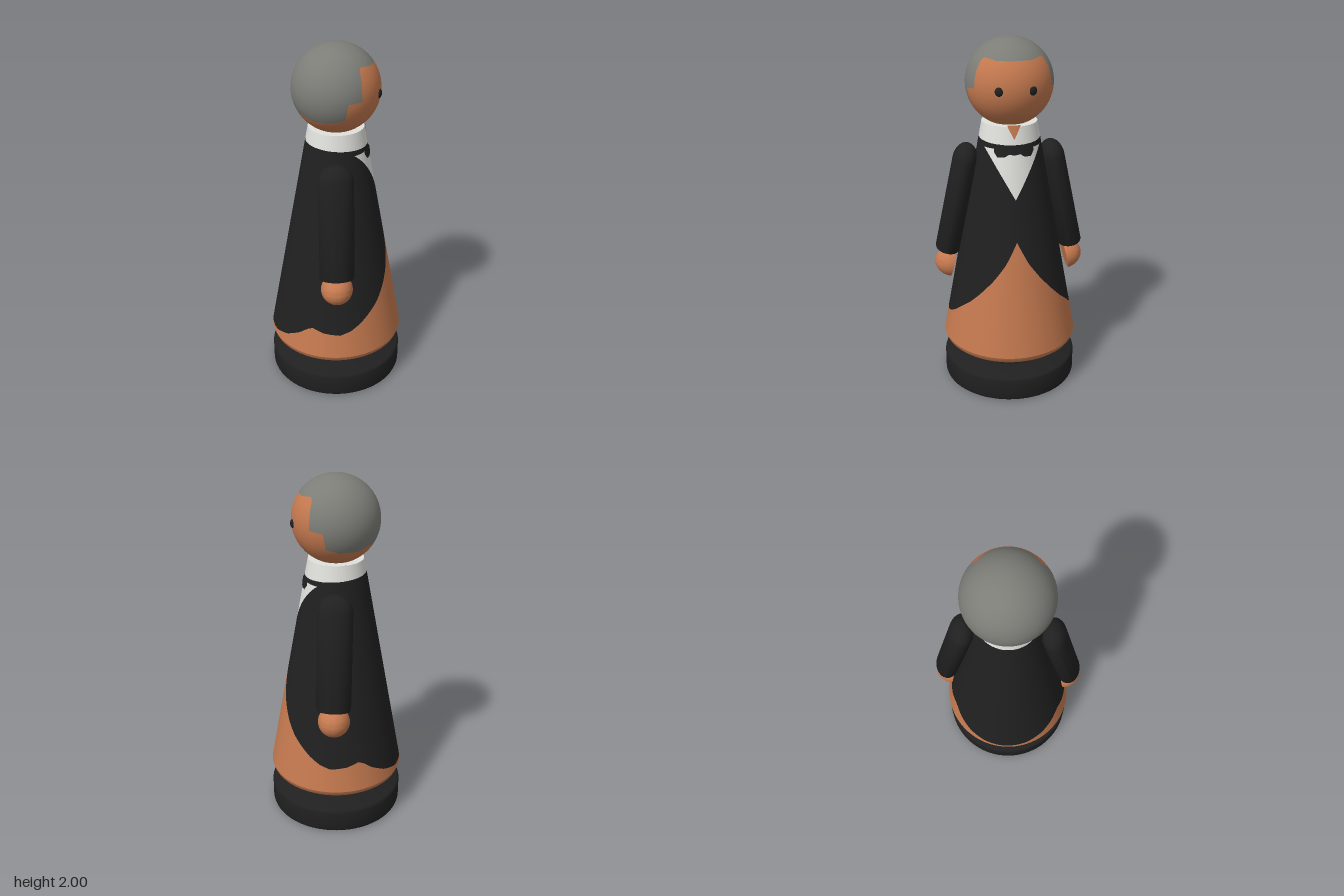
import * as THREE from 'three';
import { toCreasedNormals } from 'three/addons/utils/BufferGeometryUtils.js';

const RAD = Math.PI / 180;
const HEAD_Y = 1.765, HEAD_R = 0.237;
const SLOPE = 0.184;
const bodyRadius = (y) => 0.386 - (y - 0.28) * SLOPE;

// Piecewise linear lookup through [x, y] points
function lookup(points, x) {
  for (let i = 1; i < points.length; i++) {
    const [x0, y0] = points[i - 1], [x1, y1] = points[i];
    if (x <= x1) return y0 + (y1 - y0) * Math.max(0, (x - x0) / (x1 - x0));
  }
  return points[points.length - 1][1];
}

// Conical body and round head as surfaces of angle (0 = face, toward +x) and height
const cone = (offset) => (a, y) => {
  const r = bodyRadius(y) + offset;
  const n = new THREE.Vector3(Math.cos(a), SLOPE, Math.sin(a)).normalize();
  return [new THREE.Vector3(r * Math.cos(a), y, r * Math.sin(a)), n];
};
const ball = (a, t) => {
  const n = new THREE.Vector3(Math.cos(t) * Math.cos(a), Math.sin(t), Math.cos(t) * Math.sin(a));
  const p = n.clone().multiplyScalar(HEAD_R);
  p.y += HEAD_Y;
  return [p, n];
};

// Patch of a surface between two boundary curves, given in degrees
function band(surface, low, high, from, to, columns, rows) {
  const pos = [], nor = [], index = [];
  for (let i = 0; i <= columns; i++) {
    const deg = from + ((to - from) * i) / columns;
    const lo = low(deg), hi = high(deg);
    for (let j = 0; j <= rows; j++) {
      const [p, n] = surface(deg * RAD, lo + ((hi - lo) * j) / rows);
      pos.push(p.x, p.y, p.z);
      nor.push(n.x, n.y, n.z);
      if (i < columns && j < rows) {
        const a = i * (rows + 1) + j, c = a + 1, b = a + rows + 1, d = b + 1;
        index.push(a, c, b, b, c, d);
      }
    }
  }
  const g = new THREE.BufferGeometry();
  g.setAttribute('position', new THREE.Float32BufferAttribute(pos, 3));
  g.setAttribute('normal', new THREE.Float32BufferAttribute(nor, 3));
  g.setIndex(index);
  return g;
}

const lathe = (points, segments = 64) => toCreasedNormals(
  new THREE.LatheGeometry(points.map(([x, y]) => new THREE.Vector2(x, y)), segments), 0.7);

// Quarter arc of profile points, ending on the axis
const dome = (r, y0, height, steps = 10) => Array.from({ length: steps + 1 }, (_, i) => {
  const t = (i / steps) * Math.PI / 2;
  return [i === steps ? 0 : r * Math.cos(t), y0 + height * Math.sin(t)];
});

export function createModel() {
  const model = new THREE.Group();
  const material = (name, color) => {
    const m = new THREE.MeshStandardMaterial({ color });
    m.name = name;
    return m;
  };
  const skin = material('warm brown', 0xc4794f);
  const black = material('black', 0x202020);
  const grey = material('grey', 0x7d7d78);
  const white = material('off white', 0xe0e0dc);
  const add = (name, geometry, mat, parent = model) => {
    const mesh = new THREE.Mesh(geometry, mat);
    mesh.name = name;
    parent.add(mesh);
    return mesh;
  };

  // Stand
  add('base', lathe([[0, 0], [0.375, 0], [0.384, 0.006], [0.387, 0.015], [0.387, 0.128],
    [0.384, 0.137], [0.375, 0.143], [0, 0.143]]), black);
  add('spacer', lathe([[0, 0.158], [0.252, 0.158], [0.252, 0.24], [0, 0.24]]), black);

  // Boundaries of the painted clothing, by angle from the front
  const hemPoints = [[0, 0.937], [13, 0.81], [26, 0.715], [39.5, 0.63], [50, 0.57], [60, 0.524],
    [70, 0.478], [80, 0.44], [90, 0.418], [105, 0.428], [115.6, 0.45], [121, 0.435],
    [128.5, 0.397], [143, 0.345], [160, 0.308], [180, 0.294]];
  const hem = (d) => lookup(hemPoints, Math.abs(d));
  const SHIRT_TOP = 1.435;
  const shirtLow = (d) => {
    if (Math.abs(d) > 75) return SHIRT_TOP;
    const k = 1.8 * Math.sin(Math.abs(d) * RAD);
    return Math.min(SHIRT_TOP, (1.165 + k * bodyRadius(0)) / (1 + k * SLOPE));
  };
  const collarLow = (d) => 1.468 - 0.01 * Math.cos(d * RAD);
  const level = (y) => () => y;

  // Robe and coat
  add('robeUnderside', lathe([[0, 0.235], [0.335, 0.235], [0.362, 0.241], [0.378, 0.255],
    [0.386, 0.28]], 120), skin);
  add('robe', band(cone(0), level(0.28), hem, -180, 180, 240, 4), skin);
  add('coat', band(cone(0), hem, shirtLow, -180, 180, 240, 6), black);
  add('coatNeckline', band(cone(0), level(SHIRT_TOP), collarLow, -180, 180, 240, 1), black);
  add('shirt', band(cone(0), shirtLow, level(SHIRT_TOP), -65, 65, 88, 4), white);
  add('collar', band(cone(0), collarLow, level(1.553), -180, 180, 240, 2), white);
  add('collarTop', lathe([[bodyRadius(1.553), 1.553], [0, 1.553]]), white);

  // Bow tie
  const bowPoints = [[0, 0.022], [7, 0.018], [9, 0.016], [17, 0.032], [29, 0.034], [36, 0.006]];
  const bowHalf = (d) => lookup(bowPoints, Math.abs(d));
  add('bowTie', band(cone(0.006), (d) => 1.428 - bowHalf(d), (d) => 1.428 + bowHalf(d),
    -36, 36, 72, 2), black).material = black;

  // Pointed beard over the collar
  add('beard', band(cone(0.005), (d) => 1.487 + 0.0055 * Math.abs(d), level(1.562),
    -13, 13, 26, 2), skin);

  // Head, split along the hairline
  const hairPoints = [[0, 1.905], [30, 1.905], [44, 1.913], [54, 1.913], [58, 1.89], [60, 1.757],
    [79, 1.75], [81, 1.66], [100, 1.642], [130, 1.638], [152, 1.66], [165, 1.64], [180, 1.625]];
  const hairline = (d) => Math.asin((lookup(hairPoints, Math.abs(d)) - HEAD_Y) / HEAD_R);
  add('face', band(ball, level(-Math.PI / 2), hairline, -180, 180, 240, 16), skin);
  add('hair', band(ball, hairline, level(Math.PI / 2), -180, 180, 240, 16), grey);

  // Eyes, arms and hands on both sides
  for (const s of [1, -1]) {
    const side = s > 0 ? 'right' : 'left';
    const eye = add(side + 'Eye', new THREE.SphereGeometry(0.022, 20, 14), black);
    eye.scale.set(0.6, 1.1, 1);
    eye.position.set(0.217, 1.757, s * 0.088);
    eye.rotation.y = -s * 0.38;

    const arm = new THREE.Group();
    arm.name = side + 'Arm';
    arm.position.set(-0.017, 0.805, s * 0.358);
    arm.rotation.x = -s * 0.21;
    model.add(arm);
    const sleeve = add('sleeve', lathe([[0, 0], [0.09, 0], [0.095, 0.008],
      ...dome(0.095, 0.54, 0.095)], 40), black, arm);
    sleeve.scale.z = 0.72;
    const hand = add('hand', lathe([[0, 0], ...dome(0.088, 0, 0.1, 14)], 40), skin, arm);
    hand.rotation.x = s * Math.PI / 2;
    hand.position.set(0, -0.077, -s * 0.045);
  }
  return model;
}
